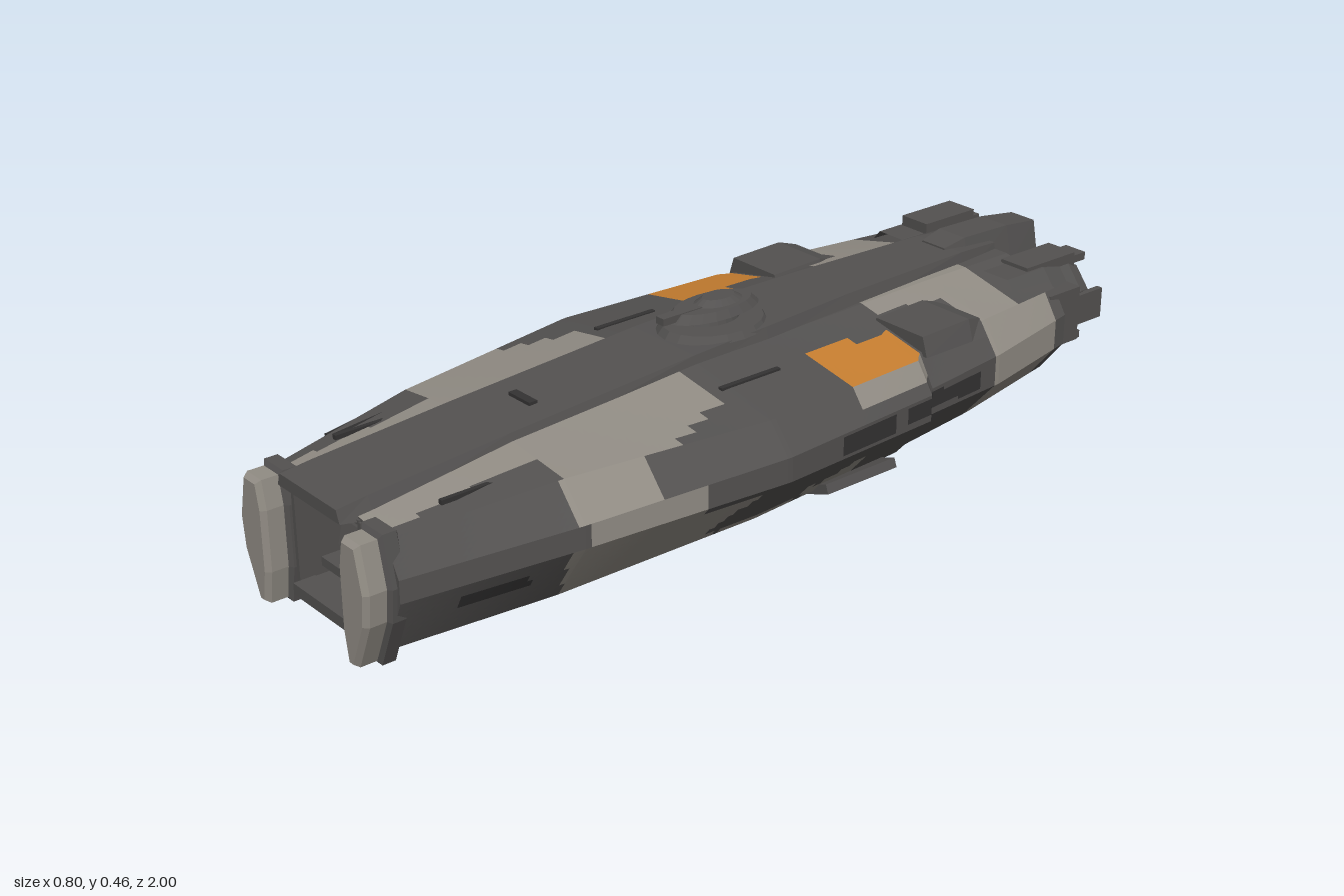
import * as THREE from 'three';

const mat = (name, color, side = THREE.FrontSide) => {
  const m = new THREE.MeshStandardMaterial({ color, side });
  m.name = name;
  return m;
};

// Hull stations: z, width, shoulder x/y, band top/bottom, chine x/y, deck y, belly y
const STATIONS = [
  [0.93, 0.24, 0.20, 0.290, 0.22, 0.17, 0.19, 0.050, 0.305, 0.025],
  [0.57, 0.335, 0.27, 0.325, 0.25, 0.20, 0.24, 0.060, 0.345, 0.030],
  [0.10, 0.40, 0.345, 0.335, 0.27, 0.215, 0.29, 0.090, 0.375, 0.035],
  [-0.33, 0.37, 0.325, 0.335, 0.27, 0.21, 0.27, 0.100, 0.380, 0.055],
  [-0.35, 0.347, 0.305, 0.338, 0.27, 0.21, 0.26, 0.102, 0.381, 0.057],
  [-0.58, 0.33, 0.28, 0.348, 0.28, 0.21, 0.24, 0.110, 0.385, 0.080],
  [-0.84, 0.285, 0.25, 0.345, 0.29, 0.22, 0.22, 0.140, 0.385, 0.110],
];

function station(z) {
  let i = 0;
  while (i < STATIONS.length - 2 && z < STATIONS[i + 1][0]) i++;
  const a = STATIONS[i], b = STATIONS[i + 1];
  const t = (z - a[0]) / (b[0] - a[0]);
  return a.map((v, k) => v + (b[k] - v) * t);
}

// Clockwise closed ring from a right-hand half profile that starts and ends on x = 0
const mirrorRing = (half) => [...half, ...half.slice(1, -1).reverse().map(([x, y]) => [-x, y])];

function hullHalf(z) {
  const [, w, sx, sy, mh, ml, lx, ly, top, bot] = station(z);
  return [[0, top], [0.1, top], [sx, sy], [w, mh], [w, ml], [lx, ly], [0.1, bot], [0, bot]];
}

function subdivide(pts, n) {
  const out = [pts[0]];
  for (let i = 0; i < pts.length - 1; i++)
    for (let k = 1; k <= n; k++)
      out.push([0, 1].map((c) => pts[i][c] + (pts[i + 1][c] - pts[i][c]) * k / n));
  return out;
}

// Skin rings running front to back; paint(x, y, z, j) picks the material index of a cell
function loft(rings, caps = [true, true], paint = () => 0) {
  const buckets = [];
  const add = (m, ...pts) => (buckets[m] ??= []).push(...pts.flat());
  const at = (i, j) => { const r = rings[i].pts; return [...r[j % r.length], rings[i].z]; };
  const n = rings[0].pts.length;
  for (let i = 0; i < rings.length - 1; i++)
    for (let j = 0; j < n; j++) {
      const a = at(i, j), b = at(i, j + 1), c = at(i + 1, j + 1), d = at(i + 1, j);
      const mid = [0, 1, 2].map((k) => (a[k] + b[k] + c[k] + d[k]) / 4);
      add(paint(...mid, j), a, b, d, b, c, d);
    }
  const e = rings.length - 1;
  for (let j = 1; j < n - 1; j++) {
    if (caps[0]) add(0, at(0, 0), at(0, j + 1), at(0, j));
    if (caps[1]) add(0, at(e, 0), at(e, j), at(e, j + 1));
  }
  const g = new THREE.BufferGeometry();
  let start = 0;
  buckets.forEach((b, m) => { g.addGroup(start, b.length / 3, m); start += b.length / 3; });
  g.setAttribute('position', new THREE.Float32BufferAttribute(buckets.flat(), 3));
  g.computeVertexNormals();
  return g;
}

const DARK = 0, LIGHT = 1, ORANGE = 2, BLACK = 3;

// Camouflage rule for the hull; seg counts profile edges from deck to belly
function camouflage(x, y, z, seg) {
  x = Math.abs(x);
  const within = (v, a, b) => v > a && v < b;
  const rearBand = within(z, -0.8, -0.57);
  if (seg <= 1) {
    if (within(z, -0.36, -0.13) && x > 0.2) return ORANGE;
    if (within(z, 0.14, 0.57) && x < 0.23 + (z - 0.14) * 0.42) return LIGHT;
    if (z >= 0.57 && x < 0.18) return LIGHT;
    if (within(z, -0.7, -0.38) && (x < 0.16 || z < -0.55)) return LIGHT;
    return DARK;
  }
  if (seg === 2) {
    if (within(z, -0.36, -0.13) && y > 0.295) return LIGHT;
    return rearBand || within(z, 0.39, 0.58) ? LIGHT : DARK;
  }
  if (seg === 3) {
    if (within(y, 0.222, 0.26) && (within(z, -0.22, -0.05) || within(z, -0.52, -0.26))) return BLACK;
    return rearBand || within(z, 0.3, 0.55) ? LIGHT : DARK;
  }
  if (seg === 4) {
    if (within(z, 0.65, 0.8) && within(y, 0.125, 0.15)) return BLACK;
    if (rearBand) return LIGHT;
    const hatch = within(y, 0.1, 0.19) && within(z, -0.03 + (y - 0.1) * 0.5, 0.24 - (y - 0.1) * 0.9);
    const edge = 0.6 - (0.2 - y) * 0.25;
    if (!hatch && z < edge && z > 0.2 - (y - 0.1) * 0.6 + (y > 0.19 ? 0.15 : 0)) return LIGHT;
    return !hatch && within(z, -0.17, 0.2) && y < 0.15 + 0.02 * Math.sin(z * 30) ? LIGHT : DARK;
  }
  if (seg === 5 && x > 0.19) return Math.sin(z * 14 + 1) > 0.25 && z > -0.6 ? LIGHT : DARK;
  return DARK;
}

export function createModel() {
  const model = new THREE.Group();
  model.name = 'spaceship';
  const dark = mat('dark grey', 0x535150);
  const light = mat('light grey', 0x918c84);
  const orange = mat('orange', 0xc67e30);
  const black = mat('near black', 0x343333);
  const palette = [dark, light, orange, black];

  const add = (name, geometry, material, x = 0, y = 0, z = 0, parent = model) => {
    const m = new THREE.Mesh(geometry, material);
    m.name = name;
    m.position.set(x, y, z);
    parent.add(m);
    return m;
  };
  const box = (name, m, w, h, d, x, y, z, parent) => add(name, new THREE.BoxGeometry(w, h, d), m, x, y, z, parent);
  // Trapezoid beam from rows of z, top half-width, bottom half-width, top y, bottom y
  const beam = (name, rows, m, x = 0) => add(name, loft(rows.map(([z, tw, bw, t, b]) => (
    { z, pts: mirrorRing([[0, t], [tw, t], [bw, b], [0, b]]) }))), [m], x);

  // Painted hull
  const SUB = 8, rings = [];
  for (let i = 0; i <= 142; i++) {
    const z = 0.93 - 1.77 * i / 142;
    rings.push({ z, pts: mirrorRing(subdivide(hullHalf(z), SUB)) });
  }
  const count = rings[0].pts.length;
  add('hull', loft(rings, [false, true], (x, y, z, j) =>
    camouflage(x, y, z, Math.floor((j < count / 2 ? j : count - 1 - j) / SUB))), palette);

  // Front face with the bay opening
  const face = new THREE.Shape(mirrorRing(hullHalf(0.93)).map(([x, y]) => new THREE.Vector2(x, y)));
  face.holes.push(new THREE.Path([[-0.115, 0.07], [0.115, 0.07], [0.115, 0.29], [-0.115, 0.29]]
    .map(([x, y]) => new THREE.Vector2(x, y))));
  add('frontFace', new THREE.ShapeGeometry(face), dark, 0, 0, 0.93);

  // Bay interior
  box('bayBack', black, 0.24, 0.23, 0.01, 0, 0.18, 0.79);
  box('bayFloor', dark, 0.24, 0.01, 0.15, 0, 0.066, 0.86);
  box('bayCeiling', dark, 0.24, 0.01, 0.15, 0, 0.294, 0.86);
  for (const s of [-1, 1]) box('bayWall', dark, 0.01, 0.23, 0.15, s * 0.12, 0.18, 0.86);
  box('bayUpperDoor', dark, 0.22, 0.07, 0.02, 0, 0.238, 0.82).rotation.x = 0.25;
  box('bayLowerDoor', dark, 0.22, 0.055, 0.02, 0, 0.15, 0.83).rotation.x = -0.25;
  box('bayStep', dark, 0.21, 0.02, 0.06, 0, 0.105, 0.86);
  box('bayLip', dark, 0.2, 0.025, 0.05, 0, 0.07, 0.935);

  // Spine along the deck
  beam('spine', [
    [0.97, 0.10, 0.11, 0.325, 0.298], [0.90, 0.10, 0.12, 0.333, 0.29], [0.57, 0.10, 0.115, 0.36, 0.32],
    [0.1, 0.10, 0.11, 0.393, 0.35], [-0.1, 0.098, 0.11, 0.402, 0.36], [-0.35, 0.085, 0.10, 0.408, 0.36],
    [-0.72, 0.07, 0.08, 0.408, 0.36], [-0.84, 0.06, 0.07, 0.40, 0.34]], dark);
  box('spineHatch', black, 0.07, 0.008, 0.02, 0, 0.37, 0.465);

  // Keel under the belly
  beam('keel', [
    [0.76, 0.11, 0.10, 0.06, 0.03], [0.66, 0.11, 0.07, 0.06, 0.0], [0.2, 0.11, 0.07, 0.07, 0.018],
    [-0.28, 0.11, 0.07, 0.08, 0.045], [-0.31, 0.11, 0.09, 0.09, 0.06]], dark);
  beam('rearKeel', [[-0.3, 0.08, 0.07, 0.09, 0.052], [-0.82, 0.08, 0.06, 0.14, 0.098]], dark);

  // Front prongs and their collars
  const prongShape = new THREE.Shape([[0.15, 0.295], [0.2, 0.295], [0.222, 0.2], [0.215, 0.13], [0.172, 0.028],
    [0.15, 0.028], [0.138, 0.1], [0.138, 0.235]].map(([x, y]) => new THREE.Vector2(x, y)));
  const prong = new THREE.ExtrudeGeometry(prongShape,
    { depth: 0.05, bevelEnabled: true, bevelThickness: 0.012, bevelSize: 0.008, bevelOffset: -0.006, bevelSegments: 1 });
  const collar = new THREE.ExtrudeGeometry(prongShape, { depth: 0.03, bevelEnabled: true, bevelThickness: 0.008, bevelSize: 0.012, bevelSegments: 1 });
  const collarPair = [[collar, dark, 0.91, 'prongCollar'], [prong, light, 0.934, 'prong']];
  for (const [g, m, z, name] of collarPair) {
    add(name + 'Left', g, m, 0, 0, z);
    const flipped = g.clone().scale(-1, 1, 1).toNonIndexed();
    const p = flipped.attributes.position;
    // Swap two corners per face so the mirrored part faces outward
    for (let i = 0; i < p.count; i += 3) {
      const b = [p.getX(i + 1), p.getY(i + 1), p.getZ(i + 1)];
      p.setXYZ(i + 1, p.getX(i + 2), p.getY(i + 2), p.getZ(i + 2));
      p.setXYZ(i + 2, ...b);
    }
    flipped.computeVertexNormals();
    add(name + 'Right', flipped, m, 0, 0, z);
  }

  // Turret
  const oval = (name, r1, r2, h, sz, y, m = dark, z = -0.035) => {
    const g = new THREE.CylinderGeometry(r1, r2, h, 20).scale(1, 1, sz).toNonIndexed();
    g.computeVertexNormals();
    return add(name, g, m, 0, y, z);
  };
  oval('turretBase', 0.095, 0.105, 0.016, 1.25, 0.402);
  oval('turretNeck', 0.04, 0.045, 0.02, 1.5, 0.416);
  oval('turretDisc', 0.05, 0.06, 0.018, 2, 0.437);
  oval('turretCap', 0.025, 0.04, 0.014, 1.6, 0.451, dark, -0.05);
  box('turretBarrel', dark, 0.025, 0.016, 0.12, 0, 0.44, 0.05);

  // Side details, one set per side
  for (const s of [-1, 1]) {
    beam('rearDeckBlock', [[-0.36, 0.07, 0.085, 0.374, 0.33], [-0.5, 0.07, 0.085, 0.378, 0.33],
      [-0.545, 0.06, 0.085, 0.365, 0.33]], dark, s * 0.235);
    box('deckSlit', black, 0.012, 0.01, 0.16, s * 0.205, 0.357, 0.04);
    box('frontDeckSlit', black, 0.01, 0.01, 0.15, s * 0.185, 0.317, 0.72);
    box('bellyWinglet', dark, 0.09, 0.022, 0.2, s * 0.285, 0.1, -0.17).rotation.z = s * 0.35;
  }
  const panel = box('frontDeckRecess', black, 0.045, 0.008, 0.2, -0.235, 0.309, 0.68);
  panel.rotation.set(0.08, 0.12, 0.28);

  // Main engines with petals around each nozzle
  const tube = mat('dark grey open', 0x535150, THREE.DoubleSide);
  const nozzle = new THREE.LatheGeometry([[0.115, 0.12], [0.115, 0], [0.1, -0.06], [0.1, -0.09], [0.085, -0.125],
    [0.07, -0.125], [0.06, -0.07]].map(([r, y]) => new THREE.Vector2(r, y)), 8, Math.PI / 8).toNonIndexed();
  nozzle.computeVertexNormals();
  for (const s of [-1, 1]) {
    const engine = new THREE.Group();
    engine.name = 'engine';
    engine.position.set(s * 0.168, 0.27, -0.85);
    engine.scale.set(0.83, 1.02, 1);
    model.add(engine);
    add('nozzle', nozzle, tube, 0, 0, 0, engine).rotation.x = Math.PI / 2;
    const core = add('nozzleCore', new THREE.CylinderGeometry(0.07, 0.07, 0.01, 8), black, 0, 0, -0.075, engine);
    core.rotation.x = Math.PI / 2;
    for (let k = 0; k < 4; k++) {
      const a = k * Math.PI / 2;
      const petal = box('nozzlePetal', dark, 0.07, 0.018, 0.12, Math.sin(a) * 0.096, Math.cos(a) * 0.096, -0.09, engine);
      petal.rotation.z = -a;
    }
    box('engineCowl', dark, 0.04, 0.13, 0.1, s * 0.245, 0.27, -0.86);
    box('engineTop', dark, 0.08, 0.05, 0.16, s * 0.16, s < 0 ? 0.378 : 0.362, -0.88);
  }

  // Centre engine
  beam('centreEngine', [[-0.7, 0.035, 0.05, 0.412, 0.35], [-0.76, 0.04, 0.06, 0.425, 0.34],
    [-0.9, 0.04, 0.06, 0.422, 0.33], [-1.0, 0.035, 0.05, 0.41, 0.335]], dark);
  const port = add('centreNozzle', new THREE.CylinderGeometry(0.028, 0.028, 0.006, 8), black, 0, 0.372, -0.998);
  port.rotation.x = Math.PI / 2;
  return model;
}
